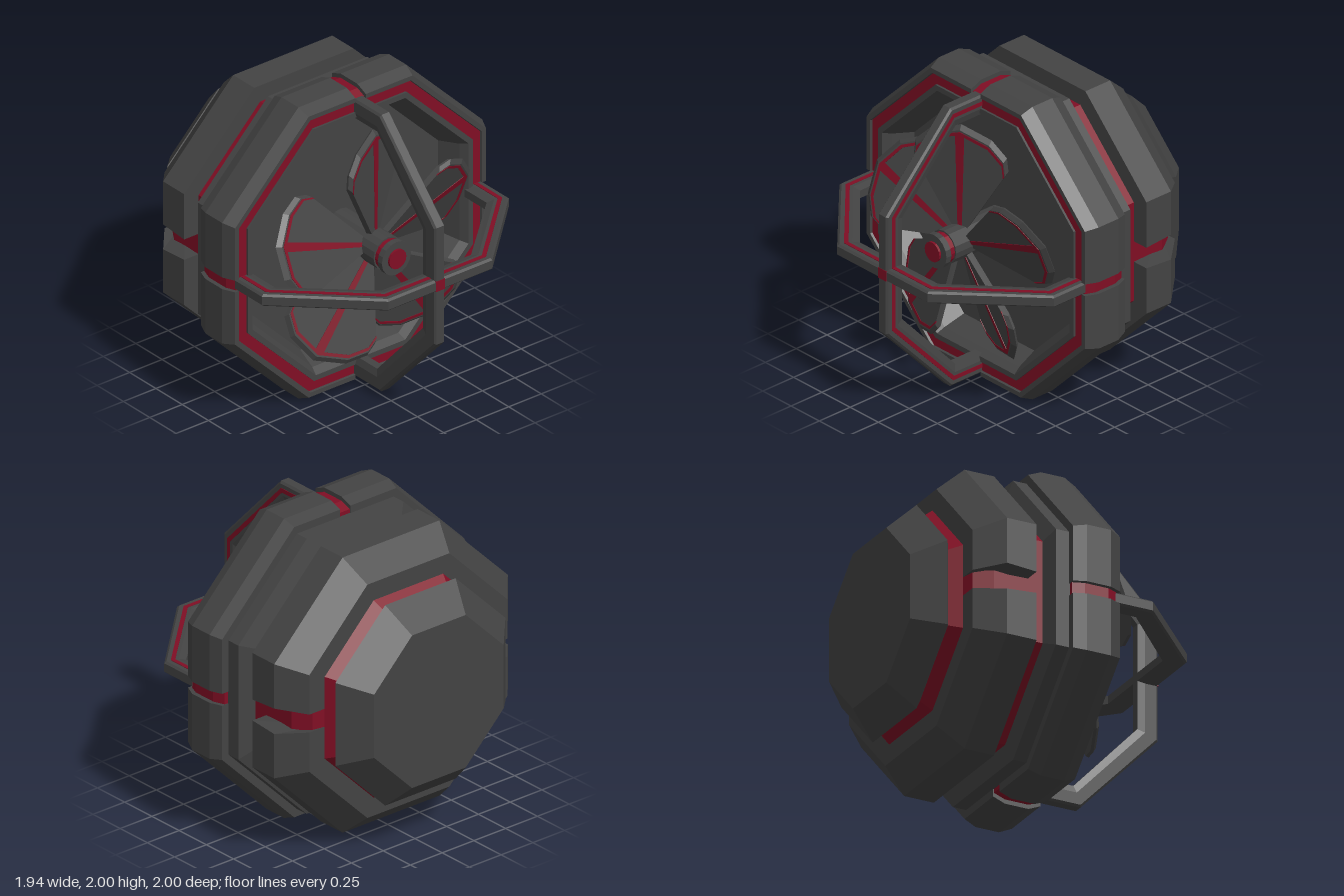
import * as THREE from 'three';

const dark = new THREE.MeshStandardMaterial({ color: 0x434343 });
dark.name = 'dark grey';
const red = new THREE.MeshStandardMaterial({ color: 0x800e24 });
red.name = 'deep red';

const V = (x, y, z) => new THREE.Vector3(x, y, z);

// Joins equal cross-section loops into a flat-shaded solid; closed = ring without end caps
function loft(sections, closed = false) {
  const tris = [];
  const n = sections[0].length, m = sections.length;
  for (let i = 0; i < (closed ? m : m - 1); i++) {
    const a = sections[i], b = sections[(i + 1) % m];
    for (let j = 0; j < n; j++) {
      const k = (j + 1) % n;
      tris.push([a[j], b[j], b[k]], [a[j], b[k], a[k]]);
    }
  }
  if (!closed) {
    const a = sections[0], b = sections[m - 1];
    for (let j = 1; j < n - 1; j++) tris.push([a[0], a[j], a[j + 1]], [b[0], b[j + 1], b[j]]);
  }
  // turn the faces outward
  const volume = tris.reduce((s, [a, b, c]) => s + a.dot(b.clone().cross(c)), 0);
  const pos = [];
  for (const [a, b, c] of tris) {
    for (const p of volume < 0 ? [a, c, b] : [a, b, c]) pos.push(p.x, p.y, p.z);
  }
  const geo = new THREE.BufferGeometry();
  geo.setAttribute('position', new THREE.Float32BufferAttribute(pos, 3));
  geo.computeVertexNormals();
  return geo;
}

function add(parent, name, geo, mat) {
  const mesh = new THREE.Mesh(geo, mat);
  mesh.name = name;
  parent.add(mesh);
  return mesh;
}

// Point on the octagon corner i, for a profile point [x, apothem]
function corner([x, a], i) {
  const t = Math.PI / 8 + i * Math.PI / 4, r = a / Math.cos(Math.PI / 8);
  return V(x, r * Math.cos(t), r * Math.sin(t));
}

const octagonRing = (profile) =>
  loft([...Array(8).keys()].map(i => profile.map(p => corner(p, i))), true);

// Part of an octagonal ring over n corners, leaving a half gap p[2] at both ends
function octagonArc(profile, n) {
  const end = n * Math.PI / 4;
  const sections = [profile.map(([x, a, g]) => V(x, a, g))];
  for (let i = 0; i < n; i++) sections.push(profile.map(p => corner(p, i)));
  sections.push(profile.map(([x, a, g]) => V(x, a, -g).applyAxisAngle(V(1, 0, 0), end)));
  return loft(sections);
}

function buildBody(body) {
  add(body, 'rearCap', octagonRing([[-0.97, 0], [-0.97, 0.51], [-0.8, 0.67], [-0.76, 0.6], [-0.76, 0]]), dark);
  add(body, 'redCore', octagonRing([[-0.78, 0], [-0.78, 0.59], [-0.69, 0.66], [-0.67, 0.74],
    [-0.56, 0.81], [-0.2, 0.81], [-0.2, 0]]), red);

  // rear ring in two halves, with slots at the front and back sides
  const rear = [[-0.69, 0.62, 0.06], [-0.69, 0.78, 0.06], [-0.53, 0.92, 0.085], [-0.33, 0.92, 0.07], [-0.33, 0.62, 0.07]];
  for (let k = 0; k < 2; k++) {
    add(body, 'rearRing', octagonArc(rear, 4), dark).rotation.x = Math.PI / 2 + k * Math.PI;
  }
  add(body, 'middleRing', octagonRing([[-0.23, 0.7], [-0.23, 0.81], [-0.2, 0.92], [-0.1, 0.92], [-0.1, 0.7]]), dark);

  // front ring in four quarters over a red band
  const g = 0.04;
  const front = [[-0.11, 0.86, g], [-0.11, 0.97, g], [-0.03, 1, g], [0.13, 1, g], [0.21, 0.965, g], [0.21, 0.935, g]];
  for (let k = 0; k < 4; k++) {
    add(body, 'frontRing', octagonArc(front, 2), dark).rotation.x = k * Math.PI / 2;
  }
  add(body, 'redFrontBand', octagonRing([[-0.105, 0.85], [-0.105, 0.945], [-0.03, 0.972], [0.13, 0.972],
    [0.195, 0.945], [0.195, 0.85]]), red);
  add(body, 'ductLip', octagonRing([[-0.1, 0.86], [0.21, 0.865], [0.21, 0.83], [0.16, 0.8], [0.02, 0.75], [-0.1, 0.75]]), dark);
  add(body, 'ductFloor', octagonRing([[-0.12, 0], [-0.12, 0.85], [0.02, 0.76], [0.02, 0]]), dark);
}

function buildFan(fan) {
  // hub pieces: name, start, end, radius, material
  const hub = [
    ['shaft', 0.0, 0.47, 0.11, dark], ['redCollar', 0.46, 0.52, 0.1, red],
    ['hubNose', 0.51, 0.55, 0.112, dark], ['redNoseCap', 0.54, 0.565, 0.065, red],
  ];
  for (const [name, x0, x1, r, mat] of hub) {
    const geo = new THREE.CylinderGeometry(r, r, x1 - x0, 16).toNonIndexed();
    geo.computeVertexNormals();
    const mesh = add(fan, name, geo, mat);
    mesh.rotation.z = -Math.PI / 2;
    mesh.position.x = (x0 + x1) / 2;
  }

  // pitched blade: w across, r outward, h above the middle surface
  const pitch = 0.4;
  const at = (w, r, h) => V(0.33 + h * Math.cos(pitch) + w * Math.sin(pitch), r, w * Math.cos(pitch) - h * Math.sin(pitch));
  const rim = [[0.31, 0.53], [0.3, 0.62], [0.2, 0.72], [0, 0.785], [-0.2, 0.72], [-0.3, 0.62], [-0.31, 0.53]];
  const outline = [[0.04, 0.08], ...rim, [-0.04, 0.08]];
  const plate = (s, h) => outline.map(([w, r]) => at(w * s, r * s, h));
  const bladeGeo = loft([plate(0.98, -0.02), plate(1, -0.005), plate(0.96, 0.018)]);
  const edgeGeo = loft(rim.map(([w, r]) =>
    [[0.918, 0.015], [0.945, 0.015], [0.945, 0.021], [0.918, 0.021]].map(([s, h]) => at(w * s, r * s, h))));
  const spineGeo = loft([[0.014, 0.1], [0.03, 0.73]].map(([w, r]) =>
    [at(-w, r, 0.015), at(w, r, 0.015), at(w, r, 0.021), at(-w, r, 0.021)]));
  for (let k = 0; k < 5; k++) {
    const blade = new THREE.Group();
    blade.name = 'blade';
    blade.rotation.x = k * Math.PI * 2 / 5;
    add(blade, 'bladePlate', bladeGeo, dark);
    add(blade, 'bladeRimStripe', edgeGeo, red);
    add(blade, 'bladeCentreStripe', spineGeo, red);
    fan.add(blade);
  }
}

function buildGuard(guard) {
  // outer and inner corners of the half frame, mirrored below
  const half = [[0.19, 0.95, 0.19, 0.815], [0.445, 0.95, 0.4, 0.815], [0.968, 0.4, 0.833, 0.345]];
  const path = [...half, ...half.slice().reverse().map(([a, b, c, d]) => [a, -b, c, -d])];
  // section points: t from outer to inner edge, z across
  const sweep = (section) => loft(path.map(([ox, oy, ix, iy]) =>
    section.map(([t, z]) => V(ox + (ix - ox) * t, oy + (iy - oy) * t, z))));
  const barGeo = sweep([[0, -0.028], [0.1, -0.04], [0.66, -0.04], [1, -0.026],
    [1, 0.026], [0.66, 0.04], [0.1, 0.04], [0, 0.028]]);
  const stripeGeo = sweep([[0.3, -0.038], [0.3, -0.043], [0.5, -0.043], [0.5, -0.038]]);
  for (const turn of [0, Math.PI / 2]) {
    const frame = new THREE.Group();
    frame.name = turn ? 'horizontalFrame' : 'verticalFrame';
    frame.rotation.x = turn;
    add(frame, 'frameBar', barGeo, dark);
    add(frame, 'frameStripe', stripeGeo, red);
    guard.add(frame);
  }
  add(guard, 'crossingStud', new THREE.BoxGeometry(0.06, 0.07, 0.07), red).position.x = 0.941;
}

export function createModel() {
  const model = new THREE.Group();
  model.name = 'ductedFan';
  for (const [name, build] of [['body', buildBody], ['fan', buildFan], ['guard', buildGuard]]) {
    const part = new THREE.Group();
    part.name = name;
    part.position.y = 1;
    build(part);
    model.add(part);
  }
  return model;
}
